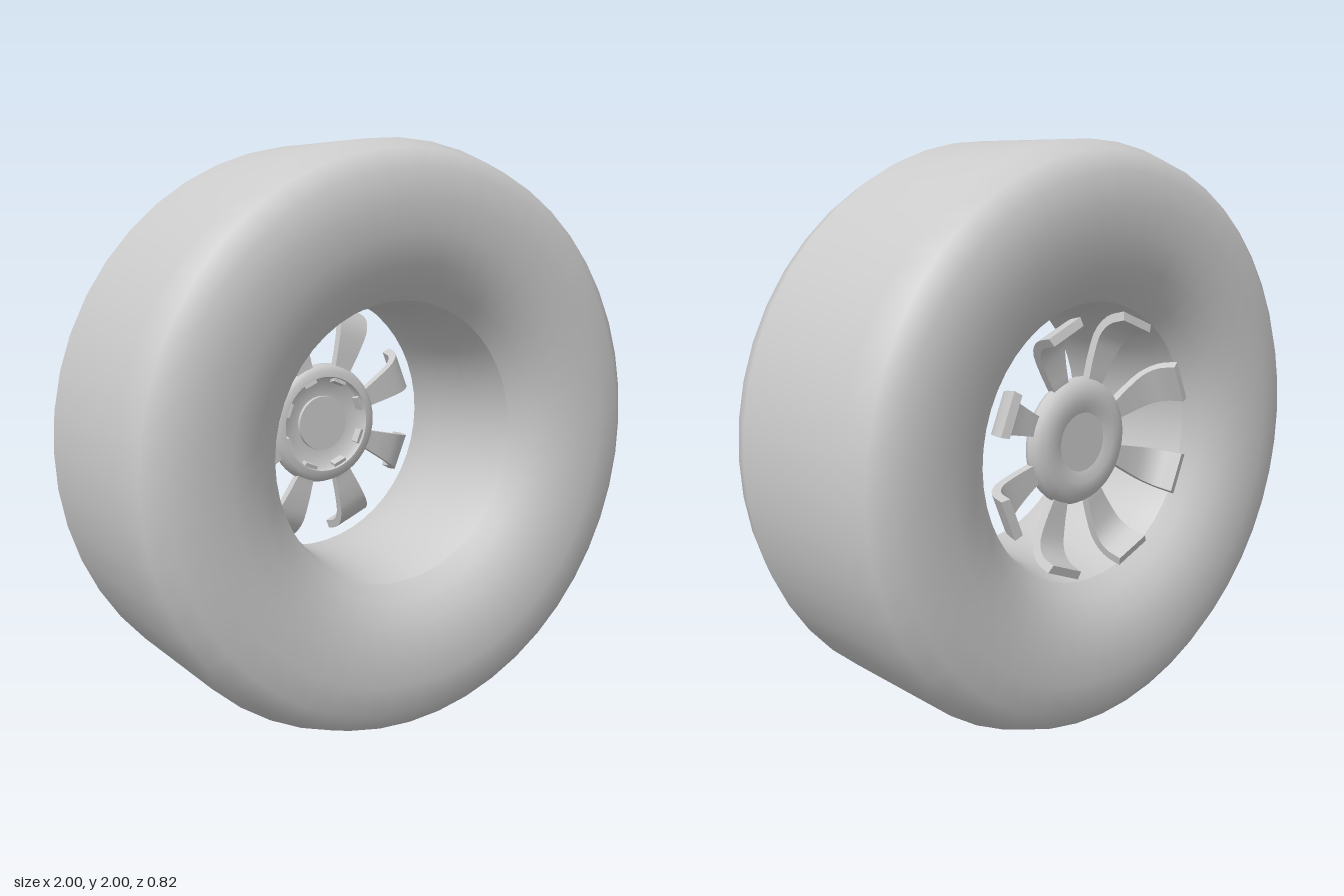
import * as THREE from 'three';
import { toCreasedNormals } from 'three/addons/utils/BufferGeometryUtils.js';

const material = new THREE.MeshStandardMaterial({ color: 0xcccccc, side: THREE.DoubleSide });

// Smooth surface turned around the z axle from [radius, z] points
function turned(name, points, segments = 48) {
  const geometry = new THREE.LatheGeometry(points.map(([r, z]) => new THREE.Vector2(r, z)), segments);
  geometry.rotateX(Math.PI / 2);
  const mesh = new THREE.Mesh(geometry, material);
  mesh.name = name;
  return mesh;
}

// Hooked strip: a thick side profile, extruded, then widened toward the rim
function spokeGeometry() {
  const path = new THREE.CatmullRomCurve3([
    [0.155, -0.195], [0.2, -0.205], [0.29, -0.21], [0.37, -0.225], [0.415, -0.265], [0.435, -0.33],
  ].map(([r, z]) => new THREE.Vector3(r, z, 0)));
  const steps = 14, half = 0.015;
  const upper = [], lower = [];
  for (let i = 0; i <= steps; i++) {
    const p = path.getPoint(i / steps), t = path.getTangent(i / steps);
    upper.push(new THREE.Vector2(p.x - t.y * half, p.y + t.x * half));
    lower.unshift(new THREE.Vector2(p.x + t.y * half, p.y - t.x * half));
  }
  const geometry = new THREE.ExtrudeGeometry(new THREE.Shape([...upper, ...lower]), { depth: 1, bevelEnabled: false });
  const pos = geometry.attributes.position;
  for (let i = 0; i < pos.count; i++) {
    const r = pos.getX(i), z = pos.getY(i), side = pos.getZ(i) - 0.5;
    pos.setXYZ(i, side * (0.065 + 0.34 * (r - 0.2)), r, z);
  }
  return toCreasedNormals(geometry, 0.6);
}

export function createModel() {
  const model = new THREE.Group();
  model.name = 'wheel';
  const wheel = new THREE.Group();
  wheel.name = 'wheelAssembly';
  wheel.position.y = 1;
  model.add(wheel);

  // Tyre: dished sidewalls, rounded shoulders and flat tread
  const sidewall = [[0.48, 0.28], [0.53, 0.33], [0.6, 0.38], [0.7, 0.408], [0.8, 0.41],
    [0.9, 0.4], [0.965, 0.35], [0.998, 0.26]];
  wheel.add(turned('tyre', [
    ...sidewall.map(([r, z]) => [r, -z]),
    ...sidewall.slice().reverse(),
  ]));

  // Rim barrel, slightly narrower in the middle
  wheel.add(turned('rimBarrel', [[0.48, 0.28], [0.458, 0.2], [0.447, 0.1], [0.443, 0],
    [0.447, -0.1], [0.458, -0.2], [0.48, -0.28]]));

  // Hub: rounded outer ring with a shallow recess and flat centre caps
  const hub = new THREE.Group();
  hub.name = 'hub';
  hub.add(
    turned('hubRing', [[0.102, -0.24], [0.14, -0.252], [0.18, -0.248], [0.21, -0.232], [0.222, -0.21],
      [0.215, -0.19], [0.198, -0.178], [0.175, -0.175]]),
    turned('hubRecess', [[0.175, -0.175], [0.165, -0.208], [0.102, -0.212]]),
    turned('frontCapEdge', [[0.1, -0.215], [0.1, -0.2]]),
    turned('frontCap', [[0.1, -0.2], [0, -0.2]]),
    turned('backCap', [[0, -0.24], [0.102, -0.24]]),
  );
  wheel.add(hub);

  // Eight hooked spokes
  const spoke = spokeGeometry();
  for (let i = 0; i < 8; i++) {
    const mesh = new THREE.Mesh(spoke, material);
    mesh.name = `spoke${i + 1}`;
    mesh.rotation.z = (i + 0.5) * Math.PI / 4;
    wheel.add(mesh);
  }
  return model;
}
